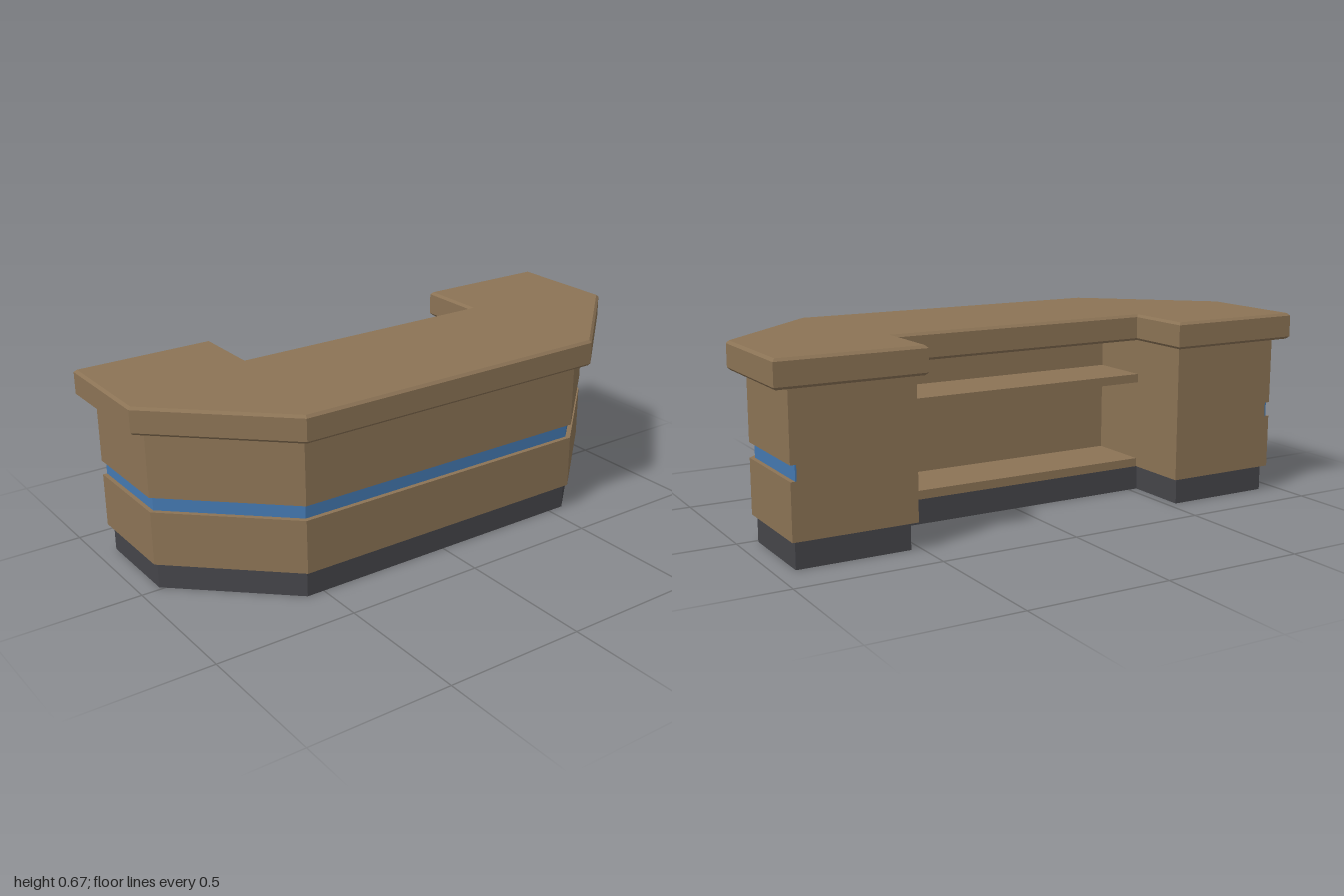
import * as THREE from 'three';

// Mirrors a half outline of [x, z] points (front centre round to inner back) into a closed shape.
function outline(half) {
  const pts = [...half, ...half.map(([x, z]) => [-x, z]).reverse()];
  return new THREE.Shape(pts.map(([x, z]) => new THREE.Vector2(x, -z)));
}

// Extrudes a plan outline upward from y0 to y1, with an optional chamfer on both rims.
function slab(half, y0, y1, chamfer = 0) {
  const geo = new THREE.ExtrudeGeometry(outline(half), {
    depth: y1 - y0 - 2 * chamfer,
    bevelEnabled: chamfer > 0,
    bevelThickness: chamfer,
    bevelSize: chamfer,
    bevelOffset: -chamfer,
    bevelSegments: 1,
  });
  geo.rotateX(-Math.PI / 2);
  geo.translate(0, y0 + chamfer, 0);
  return geo;
}

export function createModel() {
  const wood = new THREE.MeshStandardMaterial({ color: 0x8b7355 });
  wood.name = 'wood';
  const blue = new THREE.MeshStandardMaterial({ color: 0x4478b0 });
  blue.name = 'blueAccent';
  const dark = new THREE.MeshStandardMaterial({ color: 0x454549 });
  dark.name = 'darkPlinth';

  const desk = new THREE.Group();
  desk.name = 'receptionDesk';
  const add = (name, geo, mat) => {
    const mesh = new THREE.Mesh(geo, mat);
    mesh.name = name;
    desk.add(mesh);
    return mesh;
  };

  // Recessed plinth
  add('plinth', slab([
    [0.563, 0.325], [0.93, -0.014], [0.93, -0.345], [0.535, -0.345], [0.535, -0.105],
  ], 0, 0.094), dark);

  // Cabinet: front wall and two closed side pedestals, split by a shallow groove
  const back = [[0.516, -0.364], [0.516, 0.105]];
  const body = [[0.57, 0.342], [0.945, -0.006], [0.945, -0.364], ...back];
  const core = [[0.561, 0.32], [0.925, -0.016], [0.925, -0.364], ...back];
  add('lowerBody', slab(body, 0.094, 0.285), wood);
  add('grooveCore', slab(core, 0.285, 0.337), wood);
  add('upperBody', slab(body, 0.337, 0.575), wood);

  // Thin coloured band lining the groove
  add('accentBand', slab([
    [0.563, 0.325], [0.93, -0.014], [0.93, -0.364],
    [0.925, -0.364], [0.925, -0.016], [0.561, 0.32],
  ], 0.285, 0.337), blue);

  // Floor and shelf inside the open back
  for (const [name, y] of [['cabinetFloor', 0.094], ['shelf', 0.414]]) {
    const board = add(name, new THREE.BoxGeometry(1.032, 0.031, 0.23), wood);
    board.position.set(0, y + 0.0155, -0.01);
  }

  // Overhanging worktop with chamfered rims
  add('worktop', slab([
    [0.594, 0.397], [1, 0.017], [1, -0.397], [0.49, -0.397], [0.49, -0.148],
  ], 0.575, 0.67, 0.009), wood);

  return desk;
}
